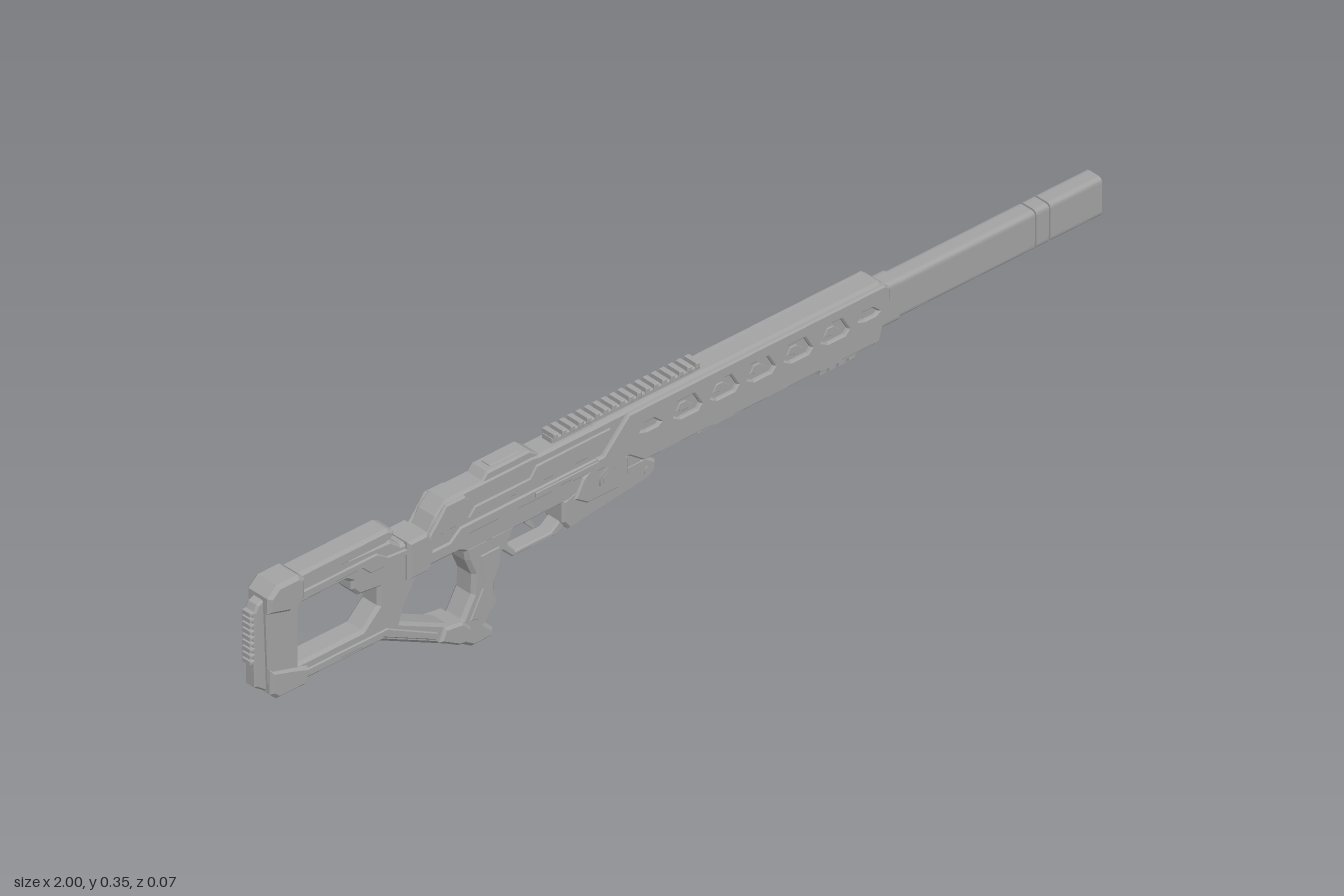
import * as THREE from 'three';

const gunmetal = new THREE.MeshStandardMaterial({ color: 0xa2a2a2 });
gunmetal.name = 'plain grey';

export function createModel() {
  const model = new THREE.Group();
  model.name = 'rifle';

  const add = (name, geometry) => {
    const mesh = new THREE.Mesh(geometry, gunmetal);
    mesh.name = name;
    model.add(mesh);
    return mesh;
  };

  const toPath = (pts, Type) => {
    const p = new Type();
    pts.forEach(([x, y], i) => (i ? p.lineTo(x, y) : p.moveTo(x, y)));
    p.closePath();
    return p;
  };

  // Chamfered slab seen from the side, spanning z0..z1; the outline keeps its size.
  const slab = (name, pts, z0, z1, bevel = 0.005, holes = []) => {
    const shape = toPath(pts, THREE.Shape);
    shape.holes = holes.map((h) => toPath(h, THREE.Path));
    const g = new THREE.ExtrudeGeometry(shape, {
      depth: z1 - z0 - 2 * bevel, bevelEnabled: bevel > 0, bevelSize: bevel,
      bevelThickness: bevel, bevelOffset: -bevel, bevelSegments: 1,
    });
    g.translate(0, 0, z0 + bevel);
    return add(name, g);
  };
  const centred = (name, pts, half, bevel, holes) => slab(name, pts, -half, half, bevel, holes);
  const sides = (name, pts, z0, z1, bevel = 0.002, holes = []) => {
    slab(name + 'Left', pts, z0, z1, bevel, holes);
    slab(name + 'Right', pts, -z1, -z0, bevel, holes);
  };
  const rect = (x0, x1, y0, y1) => [[x0, y0], [x1, y0], [x1, y1], [x0, y1]];

  // Rounded-rectangle section swept along the barrel axis.
  const roundRect = (w, h, r, Type) => {
    const p = new Type();
    p.moveTo(-w + r, -h);
    p.lineTo(w - r, -h); p.quadraticCurveTo(w, -h, w, -h + r);
    p.lineTo(w, h - r); p.quadraticCurveTo(w, h, w - r, h);
    p.lineTo(-w + r, h); p.quadraticCurveTo(-w, h, -w, h - r);
    p.lineTo(-w, -h + r); p.quadraticCurveTo(-w, -h, -w + r, -h);
    return p;
  };
  const tube = (name, x0, x1, w, h, hole) => {
    const shape = roundRect(w, h, 0.01, THREE.Shape);
    if (hole) shape.holes.push(roundRect(0.013, 0.032, 0.007, THREE.Path));
    const g = new THREE.ExtrudeGeometry(shape, { depth: x1 - x0, bevelEnabled: false, curveSegments: 4 });
    g.rotateY(Math.PI / 2);
    g.translate(x0, 0.275, 0);
    add(name, g);
  };

  // Barrel shroud in three sections with narrow grooves and an open muzzle
  tube('barrelCore', 0.44, 0.94, 0.018, 0.036);
  tube('barrelCollar', 0.45, 0.52, 0.023, 0.043);
  tube('barrelShroud', 0.52, 0.841, 0.021, 0.04);
  tube('barrelBand', 0.845, 0.874, 0.021, 0.04);
  tube('muzzle', 0.878, 1, 0.021, 0.04, true);

  // Handguard core and slotted side panels
  centred('handguard', [[-0.2, 0.215], [0.455, 0.215], [0.475, 0.25], [0.485, 0.325],
    [0.475, 0.333], [-0.2, 0.333]], 0.025, 0.007);
  const slot = (x, w, h) => [[x - w, 0.289 - h / 2], [x - w + 0.016, 0.289 - h], [x + w - 0.008, 0.289 - h],
    [x + w, 0.289 - h / 2], [x + w - 0.016, 0.289 + h], [x - w + 0.008, 0.289 + h]].map(([a, b]) => [a, b - 0.003]);
  const slots = [0.012, 0.099, 0.186, 0.273, 0.36].map((x) => slot(x, 0.032, 0.018));
  slots.push(slot(-0.075, 0.024, 0.009), slot(0.44, 0.024, 0.009));
  sides('handguardPanel', [[-0.2, 0.243], [-0.125, 0.243], [-0.09, 0.218], [0.465, 0.218],
    [0.474, 0.25], [0.49, 0.295], [0.49, 0.32], [0.478, 0.329], [-0.125, 0.329], [-0.185, 0.268], [-0.2, 0.268]],
  0.021, 0.033, 0.003, slots);
  for (const x of [0.012, 0.099, 0.186, 0.273, 0.36]) {
    sides('slotInsert', slot(x - 0.003, 0.019, 0.009), 0.024, 0.028, 0.001);
  }

  // Lower handguard rail, recessed access block and accessory mount
  centred('lowerRail', [[-0.1, 0.222], [-0.1, 0.212], [0.44, 0.212], [0.46, 0.222]], 0.02, 0.002);
  centred('lowerRailBlock', [[0.04, 0.214], [0.055, 0.236], [0.125, 0.236], [0.145, 0.214]], 0.03, 0.003);
  centred('mountBase', [[0.33, 0.215], [0.34, 0.2], [0.43, 0.2], [0.44, 0.215]], 0.016, 0.002);
  for (let i = 0; i < 4; i++) centred('mountTooth', rect(0.342 + i * 0.023, 0.357 + i * 0.023, 0.191, 0.204), 0.014, 0.002);

  // Receiver with stepped layers
  centred('receiver', [[-0.645, 0.215], [-0.52, 0.215], [-0.5, 0.205], [-0.1, 0.205], [-0.07, 0.222],
    [-0.07, 0.332], [-0.33, 0.332], [-0.345, 0.335], [-0.55, 0.335], [-0.575, 0.312], [-0.59, 0.285], [-0.645, 0.285]], 0.025, 0.005);
  sides('receiverRib', [[-0.645, 0.222], [-0.52, 0.222], [-0.5, 0.245], [-0.2, 0.245], [-0.18, 0.268],
    [-0.52, 0.268], [-0.545, 0.248], [-0.645, 0.248]], 0.023, 0.03, 0.003);
  sides('receiverUpperPlate', [[-0.5, 0.278], [-0.2, 0.278], [-0.165, 0.316], [-0.34, 0.316], [-0.355, 0.296], [-0.485, 0.296]],
    0.022, 0.029, 0.002);
  sides('receiverCheek', [[-0.6, 0.275], [-0.525, 0.275], [-0.5, 0.318], [-0.51, 0.33], [-0.555, 0.33], [-0.575, 0.305]],
    0.022, 0.031, 0.003);
  sides('ejectionCover', rect(-0.345, -0.19, 0.253, 0.263), 0.028, 0.0325, 0.001);
  centred('rearHinge', [[-0.645, 0.213], [-0.6, 0.213], [-0.585, 0.228], [-0.585, 0.275], [-0.6, 0.292], [-0.645, 0.292]], 0.033, 0.005);

  // Rear top cover and toothed sight rail
  centred('topCover', [[-0.465, 0.33], [-0.45, 0.349], [-0.35, 0.349], [-0.325, 0.33]], 0.022, 0.004);
  centred('topCoverInset', rect(-0.435, -0.365, 0.34, 0.351), 0.012, 0.002);
  centred('sightRail', rect(-0.29, 0.06, 0.325, 0.342), 0.014, 0.002);
  for (let i = 0; i < 18; i++) {
    const x = -0.288 + i * 0.0197;
    centred('railTooth', rect(x, x + 0.011, 0.338, 0.351), 0.017, 0.002);
  }

  // Magazine housing, trigger guard and pin
  centred('magazineHousing', [[-0.275, 0.21], [-0.275, 0.165], [-0.26, 0.146], [-0.07, 0.17], [-0.055, 0.183],
    [-0.055, 0.2], [-0.08, 0.218], [-0.25, 0.218]], 0.026, 0.005);
  sides('magazinePlate', [[-0.25, 0.205], [-0.22, 0.185], [-0.14, 0.185], [-0.125, 0.205], [-0.125, 0.24],
    [-0.145, 0.255], [-0.21, 0.255], [-0.23, 0.24]], 0.022, 0.03, 0.003);
  centred('triggerGuard', [[-0.41, 0.215], [-0.41, 0.165], [-0.385, 0.14], [-0.285, 0.14], [-0.26, 0.152], [-0.26, 0.215]],
    0.016, 0.003, [[[-0.395, 0.205], [-0.395, 0.17], [-0.378, 0.151], [-0.295, 0.151], [-0.272, 0.168], [-0.272, 0.195], [-0.285, 0.205]]]);
  centred('trigger', [[-0.35, 0.212], [-0.335, 0.212], [-0.333, 0.188], [-0.322, 0.172], [-0.33, 0.17], [-0.345, 0.185]], 0.006, 0.001);
  const pin = (name, x, y, r, half) => add(name, new THREE.CylinderGeometry(r, r, half * 2, 6).rotateX(Math.PI / 2).translate(x, y, 0));
  pin('housingPin', -0.176, 0.22, 0.02, 0.032);
  pin('housingPinCentre', -0.176, 0.22, 0.011, 0.033);
  pin('frontPin', -0.078, 0.19, 0.008, 0.028);

  // Pistol grip with finger swells
  centred('grip', [[-0.505, 0.215], [-0.385, 0.215], [-0.395, 0.19], [-0.415, 0.17], [-0.418, 0.145], [-0.433, 0.115],
    [-0.432, 0.09], [-0.423, 0.072], [-0.455, 0.038], [-0.435, 0.018], [-0.437, 0.002], [-0.485, 0.001],
    [-0.54, 0.035], [-0.51, 0.07], [-0.487, 0.11], [-0.485, 0.15], [-0.5, 0.185]], 0.025, 0.007);
  sides('gripPanel', [[-0.47, 0.185], [-0.425, 0.185], [-0.448, 0.1], [-0.475, 0.055], [-0.495, 0.06], [-0.465, 0.115]], 0.023, 0.027, 0.002);
  centred('gripClamp', [[-0.57, 0.05], [-0.558, 0.076], [-0.515, 0.07], [-0.495, 0.05], [-0.505, 0.022], [-0.525, 0.025]], 0.033, 0.005);

  // Skeleton stock and the strut that joins it to the grip
  centred('stockFrame', [[-0.94, 0.108], [-0.72, 0.108], [-0.7, 0.108], [-0.54, 0.03], [-0.515, 0.06], [-0.655, 0.128],
    [-0.645, 0.16], [-0.615, 0.205], [-0.6, 0.225], [-0.6, 0.285], [-0.655, 0.29], [-0.68, 0.31], [-0.94, 0.325]], 0.024, 0.006,
  [[[-0.905, 0.15], [-0.745, 0.15], [-0.708, 0.185], [-0.708, 0.222], [-0.755, 0.228], [-0.77, 0.245],
    [-0.77, 0.262], [-0.785, 0.272], [-0.89, 0.272], [-0.905, 0.26]]]);
  centred('cheekRest', [[-0.895, 0.305], [-0.69, 0.305], [-0.67, 0.315], [-0.672, 0.328], [-0.685, 0.335], [-0.895, 0.335]], 0.024, 0.006);
  sides('stockRib', [[-0.9, 0.284], [-0.75, 0.284], [-0.73, 0.265], [-0.645, 0.265], [-0.63, 0.245],
    [-0.61, 0.255], [-0.615, 0.275], [-0.69, 0.282], [-0.715, 0.299], [-0.9, 0.299]], 0.022, 0.028, 0.002);
  sides('strutRib', [[-0.89, 0.118], [-0.7, 0.118], [-0.575, 0.057], [-0.57, 0.07], [-0.69, 0.132], [-0.89, 0.132]], 0.022, 0.027, 0.002);

  // Butt block, corner guards and ridged recoil pad
  centred('buttBlock', [[-0.965, 0.12], [-0.95, 0.105], [-0.895, 0.105], [-0.895, 0.32], [-0.9, 0.33], [-0.955, 0.33], [-0.972, 0.3]], 0.025, 0.006);
  centred('buttTop', [[-0.972, 0.285], [-0.92, 0.27], [-0.885, 0.285], [-0.885, 0.325], [-0.9, 0.337], [-0.95, 0.337], [-0.972, 0.318]], 0.031, 0.007);
  centred('buttBottom', [[-0.965, 0.115], [-0.95, 0.101], [-0.885, 0.101], [-0.875, 0.115], [-0.875, 0.138], [-0.91, 0.15], [-0.965, 0.165]], 0.03, 0.007);
  centred('recoilPad', [[-0.99, 0.135], [-0.96, 0.115], [-0.96, 0.315], [-0.985, 0.305], [-0.992, 0.29]], 0.014, 0.004);
  for (let i = 0; i < 9; i++) {
    const y = 0.185 + i * 0.0125;
    centred('padRidge', rect(-1, -0.98, y, y + 0.008), 0.012, 0.002);
  }

  return model;
}
